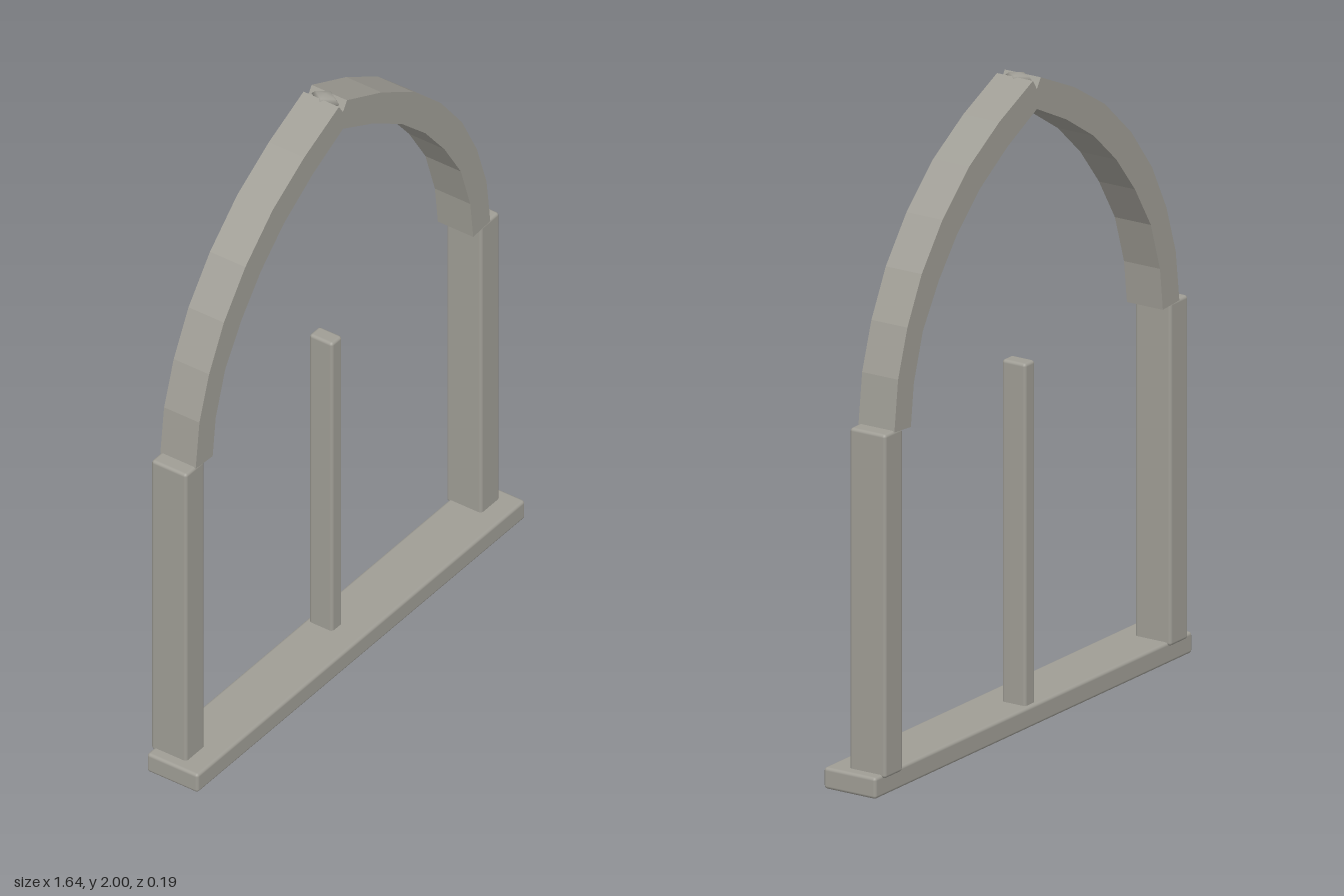
import * as THREE from 'three';
import { RoundedBoxGeometry } from 'three/addons/geometries/RoundedBoxGeometry.js';

// Warm stone grey
const material = new THREE.MeshStandardMaterial({ color: 0x9f9d95 });

// Softly bevelled beam given by its extents on each axis
function beam(name, [x0, x1], [y0, y1], [z0, z1]) {
  const geometry = new RoundedBoxGeometry(x1 - x0, y1 - y0, z1 - z0, 2, 0.01);
  const mesh = new THREE.Mesh(geometry, material);
  mesh.name = name;
  mesh.position.set((x0 + x1) / 2, (y0 + y1) / 2, (z0 + z1) / 2);
  return mesh;
}

// Faceted edges of one arch half, from springing to apex
const outer = [[0.735, 1.108], [0.716, 1.265], [0.668, 1.412], [0.594, 1.556],
  [0.487, 1.693], [0.35, 1.818], [0.193, 1.913], [0.02, 1.991], [0, 1.96]];
const inner = [[0.65, 1.102], [0.635, 1.232], [0.588, 1.38], [0.506, 1.512],
  [0.41, 1.63], [0.294, 1.735], [0.152, 1.825], [0, 1.899]];

function archHalf(name, side) {
  const outline = [...outer, ...inner.slice().reverse()];
  const shape = new THREE.Shape(outline.map(([x, y]) => new THREE.Vector2(side * x, y)));
  const geometry = new THREE.ExtrudeGeometry(shape, { depth: 0.127, bevelEnabled: false });
  const mesh = new THREE.Mesh(geometry, material);
  mesh.name = name;
  mesh.position.z = -0.097;
  return mesh;
}

export function createModel() {
  const model = new THREE.Group();
  model.name = 'archedWindowFrame';

  // Sill and centre bar
  model.add(beam('sill', [-0.818, 0.818], [0, 0.066], [-0.087, 0.097]));
  model.add(beam('mullion', [-0.026, 0.026], [0.05, 1.117], [-0.074, 0.01]));

  // Jambs and pointed arch, mirrored left and right
  for (const [label, side] of [['left', 1], ['right', -1]]) {
    const xs = [side * 0.69, side * 0.782].sort((a, b) => a - b);
    model.add(beam(label + 'Jamb', xs, [0.055, 1.112], [-0.097, 0.03]));
    model.add(archHalf(label + 'ArchHalf', side));
  }

  // Small smooth stud seated in the notch at the apex
  const stud = new THREE.Mesh(new THREE.SphereGeometry(1, 4, 4), material);
  stud.name = 'apexStud';
  stud.scale.set(0.034, 0.02, 0.05);
  stud.position.set(0, 1.98, -0.033);
  model.add(stud);

  return model;
}
